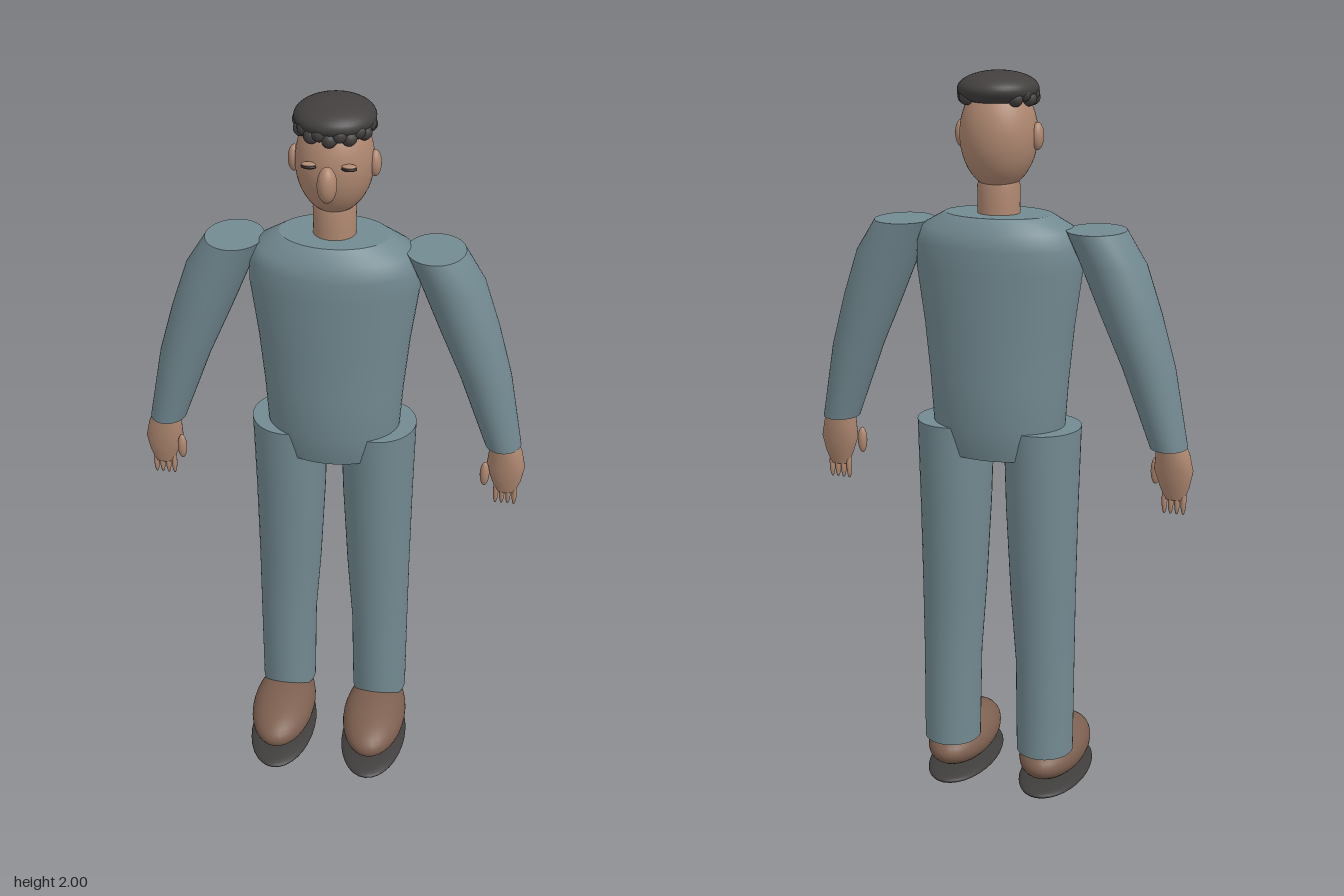
import * as THREE from 'three';

const mat = (name, color) => new THREE.MeshStandardMaterial({ name, color });

// Closed loft through elliptical sections [y, centreX, centreZ, radiusX, radiusZ], listed top to bottom
function loft(sections, n = 40) {
  const pos = [], index = [];
  const ring = ([y, cx, cz, rx, rz]) => {
    const start = pos.length / 3;
    for (let i = 0; i < n; i++) {
      const a = (i / n) * Math.PI * 2;
      pos.push(cx + rx * Math.sin(a), y, cz + rz * Math.cos(a));
    }
    return start;
  };
  const starts = sections.map(ring);
  for (let k = 0; k < starts.length - 1; k++) {
    for (let i = 0; i < n; i++) {
      const j = (i + 1) % n, a = starts[k], b = starts[k + 1];
      index.push(a + i, b + i, b + j, a + i, b + j, a + j);
    }
  }
  // flat caps with their own vertices so the rims stay sharp
  [[sections[0], true], [sections[sections.length - 1], false]].forEach(([s, top]) => {
    const start = ring(s), c = pos.length / 3;
    pos.push(s[1], s[0], s[2]);
    for (let i = 0; i < n; i++) {
      const p = start + i, q = start + ((i + 1) % n);
      index.push(c, top ? p : q, top ? q : p);
    }
  });
  const g = new THREE.BufferGeometry();
  g.setAttribute('position', new THREE.Float32BufferAttribute(pos, 3));
  g.setIndex(index);
  g.computeVertexNormals();
  return g;
}

export function createModel() {
  const root = new THREE.Group();
  root.name = 'figure';
  const cloth = mat('cloth', 0x728a91);
  const skin = mat('skin', 0xae8770);
  const hair = mat('hair', 0x433f3f);
  const leather = mat('shoeLeather', 0x7d6050);
  const rubber = mat('soleRubber', 0x403d3d);
  const dark = mat('eyeDark', 0x2a2422);

  const add = (name, geometry, material, parent = root) => {
    const m = new THREE.Mesh(geometry, material);
    m.name = name;
    parent.add(m);
    return m;
  };
  const ball = (name, material, p, r, parent = root, seg = 32) => {
    const m = add(name, new THREE.SphereGeometry(1, seg, Math.ceil(seg * 0.6)), material, parent);
    m.position.set(...p);
    m.scale.set(...r);
    return m;
  };

  // Torso with sloping shoulders and tapered hips
  add('torso', loft([
    [1.64, 0, -0.072, 0.143, 0.103],
    [1.605, 0, -0.071, 0.205, 0.136],
    [1.56, 0, -0.07, 0.222, 0.143],
    [1.5, 0, -0.07, 0.224, 0.142],
    [1.35, 0, -0.07, 0.203, 0.138],
    [1.2, 0, -0.07, 0.188, 0.134],
    [1.085, 0, -0.07, 0.18, 0.134],
    [1.0, 0, -0.07, 0.165, 0.112],
  ], 56), cloth);

  // Neck and head
  add('neck', loft([
    [1.73, 0, -0.072, 0.05, 0.046],
    [1.71, 0, -0.072, 0.056, 0.052],
    [1.66, 0, -0.072, 0.055, 0.053],
    [1.62, 0, -0.072, 0.056, 0.054],
  ]), skin);
  const head = new THREE.Group();
  head.name = 'head';
  root.add(head);
  ball('skull', skin, [0, 1.84, -0.072], [0.1, 0.14, 0.103], head, 40);
  ball('nose', skin, [0, 1.823, 0.05], [0.025, 0.047, 0.028], head);

  // Hair cap with curls round the front and sides
  ball('hairCap', hair, [0, 1.955, -0.076], [0.103, 0.044, 0.11], head, 40);
  for (let i = 0; i < 17; i++) {
    const a = ((i - 8) / 8) * 2.3;
    const y = 1.938 - (i % 2 ? 0 : 0.012) + 0.004 * Math.abs(a);
    ball('curl', hair, [0.086 * Math.sin(a), y, -0.072 + 0.088 * Math.cos(a)], [0.02, 0.02, 0.02], head, 14);
  }

  for (const s of [1, -1]) {
    const side = s > 0 ? 'left' : 'right';

    // Face details
    ball(side + 'Ear', skin, [s * 0.102, 1.838, -0.068], [0.016, 0.035, 0.021], head);
    ball(side + 'Eye', dark, [s * 0.05, 1.857, 0.022], [0.02, 0.006, 0.012], head, 16);
    ball(side + 'Eyelid', skin, [s * 0.05, 1.863, 0.022], [0.019, 0.005, 0.012], head, 16);

    // Arm
    add(side + 'Arm', loft([
      [1.61, s * 0.262, -0.072, 0.077, 0.092],
      [1.525, s * 0.308, -0.071, 0.085, 0.09],
      [1.4, s * 0.355, -0.069, 0.08, 0.084],
      [1.26, s * 0.405, -0.066, 0.069, 0.075],
      [1.05, s * 0.463, -0.062, 0.049, 0.056],
    ]), cloth);

    // Hand with thumb and fingers
    const hand = new THREE.Group();
    hand.name = side + 'Hand';
    root.add(hand);
    add('palm', loft([
      [1.07, s * 0.463, -0.055, 0.036, 0.042],
      [1.03, s * 0.472, -0.054, 0.045, 0.04],
      [0.985, s * 0.475, -0.052, 0.052, 0.035],
      [0.94, s * 0.478, -0.05, 0.04, 0.025],
      [0.905, s * 0.479, -0.049, 0.026, 0.014],
    ]), skin, hand);
    ball('thumb', skin, [s * 0.42, 0.97, -0.025], [0.013, 0.037, 0.013], hand, 16);
    for (let i = 0; i < 4; i++) {
      ball('finger', skin, [s * (0.452 + i * 0.017), 0.902, -0.049], [0.0075, 0.04, 0.011], hand, 14);
    }

    // Trouser leg
    add(side + 'Leg', loft([
      [1.08, s * 0.122, -0.073, 0.103, 0.111],
      [0.85, s * 0.123, -0.076, 0.097, 0.1],
      [0.6, s * 0.128, -0.078, 0.089, 0.086],
      [0.4, s * 0.135, -0.078, 0.081, 0.078],
      [0.14, s * 0.137, -0.082, 0.078, 0.082],
    ]), cloth);

    // Shoe
    ball(side + 'Shoe', leather, [s * 0.137, 0.1, 0.017], [0.091, 0.066, 0.179]);
    ball(side + 'Sole', rubber, [s * 0.137, 0.022, 0.026], [0.094, 0.022, 0.189]);
  }
  return root;
}
